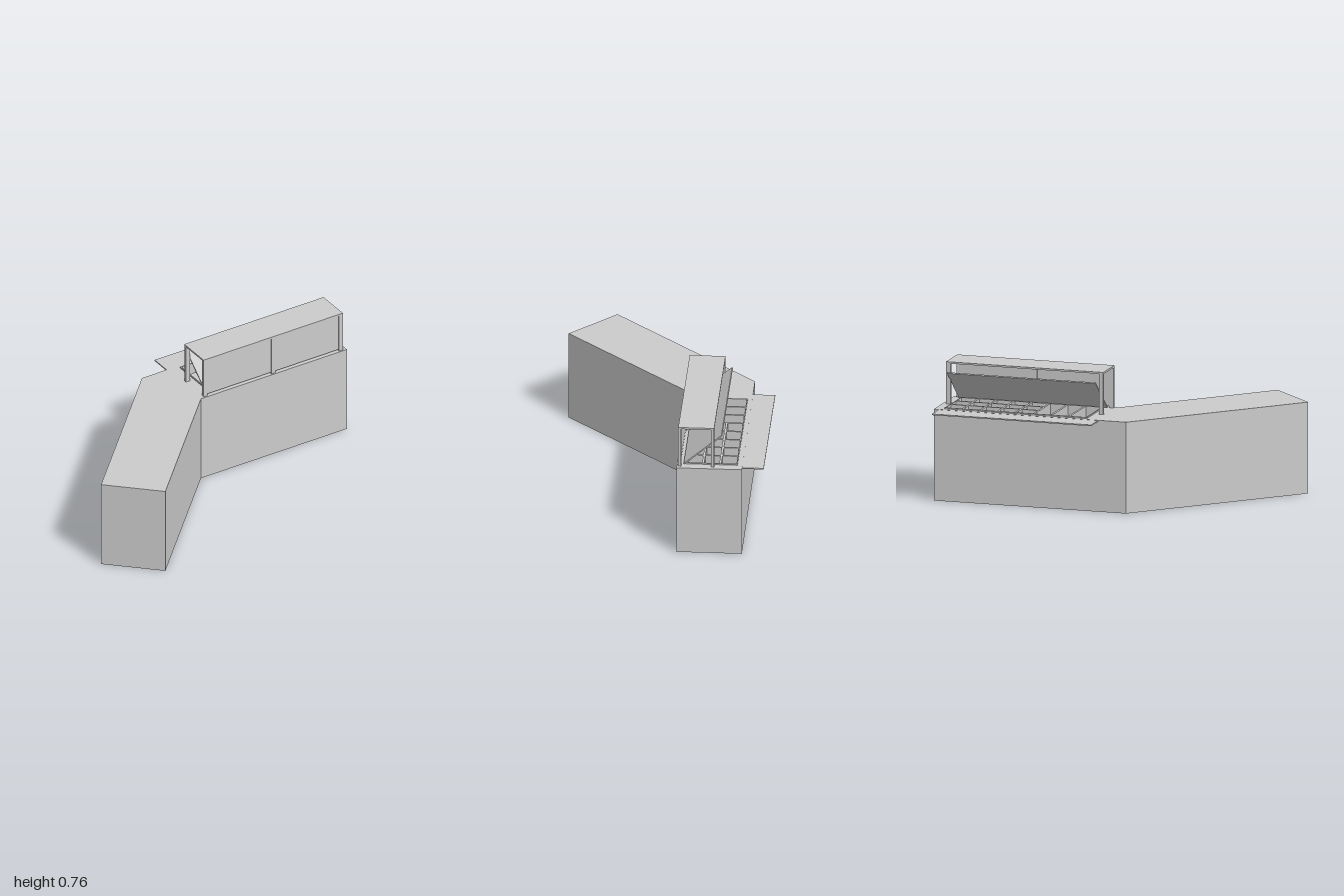
import * as THREE from 'three';

const material = new THREE.MeshStandardMaterial({ color: 0xcccccc, flatShading: true, side: THREE.DoubleSide });

const HEIGHT = 0.52, FLOOR = 0.46, ANGLE = 0.77;
const CORNER = [-0.165, 0.003]; // inner corner of the bent counter (x, z)
const TRAY = { u0: 0.078, u1: 0.91, v0: 0.05, v1: 0.337 };

function add(parent, name, geometry, x = 0, y = 0, z = 0) {
  const mesh = new THREE.Mesh(geometry, material);
  mesh.name = name;
  mesh.position.set(x, y, z);
  parent.add(mesh);
  return mesh;
}

// Box given by ranges along the wing (u), up (y) and towards its back (v)
function addBox(parent, name, u0, u1, y0, y1, v0, v1) {
  return add(parent, name, new THREE.BoxGeometry(u1 - u0, y1 - y0, v1 - v0),
    (u0 + u1) / 2, (y0 + y1) / 2, -(v0 + v1) / 2);
}

// Horizontal outline extruded upwards; outline y points to -z
function slab(points, holes, y0, y1) {
  const toVectors = (list) => list.map(([x, y]) => new THREE.Vector2(x, y));
  const shape = new THREE.Shape(toVectors(points));
  shape.holes = holes.map((h) => new THREE.Path(toVectors(h)));
  return new THREE.ExtrudeGeometry(shape, { depth: y1 - y0, bevelEnabled: false })
    .rotateX(-Math.PI / 2).translate(0, y0, 0);
}

const rect = (u0, u1, v0, v1) => [[u0, v0], [u1, v0], [u1, v1], [u0, v1]];

// Wing coordinates to outline coordinates of the whole counter
function toPlan([u, v]) {
  const c = Math.cos(ANGLE), s = Math.sin(ANGLE);
  return [CORNER[0] + u * c - v * s, -CORNER[1] + u * s + v * c];
}

export function createModel() {
  const model = new THREE.Group();
  model.name = 'servingCounter';

  // Bent counter with a well for the food tray
  const outline = [[-0.53, -1], [-0.165, -1], toPlan([0, 0]), toPlan([0.965, 0]),
    toPlan([0.965, 0.365]), [-0.53, 0.145]];
  const well = rect(TRAY.u0 + 0.002, TRAY.u1 - 0.002, TRAY.v0 + 0.002, TRAY.v1 - 0.002).map(toPlan);
  add(model, 'counterBody', slab(outline, [], 0, FLOOR));
  add(model, 'counterTop', slab(outline, [well], FLOOR, HEIGHT));

  // Everything on the angled wing
  const wing = new THREE.Group();
  wing.name = 'servingStation';
  wing.position.set(CORNER[0], 0, CORNER[1]);
  wing.rotation.y = ANGLE;
  model.add(wing);

  // Tray: three long bins, then five columns of three small bins
  const bins = [], wall = 0.006;
  const pitchU = (TRAY.u1 - TRAY.u0) / 8;
  for (let col = 0; col < 8; col++) {
    const rows = col < 3 ? 1 : 3;
    const pitchV = (TRAY.v1 - TRAY.v0) / rows;
    for (let row = 0; row < rows; row++) {
      const u = TRAY.u0 + col * pitchU, v = TRAY.v0 + row * pitchV;
      bins.push(rect(u + wall, u + pitchU - wall, v + wall, v + pitchV - wall));
    }
  }
  add(wing, 'foodBins', slab(rect(TRAY.u0, TRAY.u1, TRAY.v0, TRAY.v1), bins, FLOOR, 0.527));

  // Thin shelf along the back
  addBox(wing, 'backShelf', 0.005, 0.937, 0.512, 0.519, 0.36, 0.485);

  // Canopy, posts and front panels
  const u0 = 0.024, u1 = 0.944, postW = 0.026, postD = 0.016;
  const front = 0.009, back = 0.209, mid = (u0 + u1 - postW) / 2;
  addBox(wing, 'canopyRoof', u0, u1, 0.75, 0.76, front, back);
  for (const u of [u0, mid, u1 - postW]) {
    addBox(wing, 'frontPost', u, u + postW, HEIGHT, 0.75, front, front + postD);
  }
  for (const u of [u0, u1 - postW]) {
    addBox(wing, 'backPost', u, u + postW, HEIGHT, 0.75, back - postD, back);
  }
  for (const u of [u0, mid]) {
    addBox(wing, 'frontPanel', u + postW, u + mid - u0, 0.528, 0.75, 0.014, 0.02);
  }

  // Slanted guard rising over the bins
  const guard = add(wing, 'slantedGuard',
    new THREE.BoxGeometry(0.87, 0.007, 0.277), 0.49, 0.616, -0.145);
  guard.rotation.x = Math.atan2(0.18, 0.21);

  return model;
}
